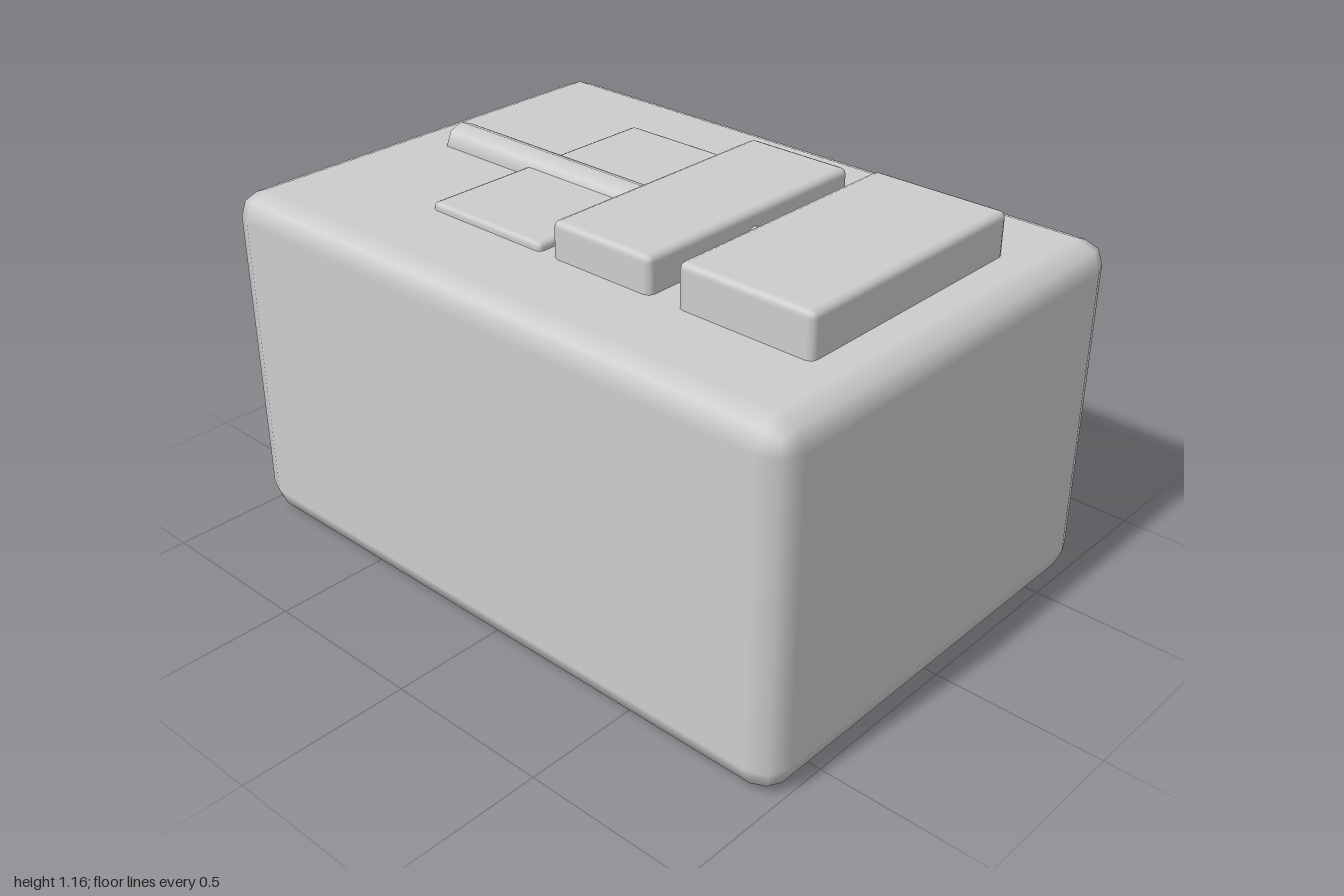
import * as THREE from 'three';
import { RoundedBoxGeometry } from 'three/addons/geometries/RoundedBoxGeometry.js';

export function createModel() {
  const group = new THREE.Group();
  const grey = new THREE.MeshStandardMaterial({ color: 0xcccccc });
  grey.name = 'light grey';

  // Rounded block given by its x and y extents and its depth, centred on z = 0
  function block(name, x0, x1, y0, y1, depth, radius) {
    const mesh = new THREE.Mesh(new RoundedBoxGeometry(x1 - x0, y1 - y0, depth, 1, radius), grey);
    mesh.name = name;
    mesh.position.set((x0 + x1) / 2, (y0 + y1) / 2, 0);
    group.add(mesh);
  }

  // Main body with softly bevelled edges
  block('body', -1, 1, 0, 1.04, 1.4, 0.08);

  // Low plate and two raised pads, seated in the top face
  block('lowPlate', -0.47, -0.05, 0.98, 1.063, 0.8, 0.015);
  block('middlePad', -0.005, 0.335, 0.98, 1.145, 0.8, 0.02);
  block('endPad', 0.425, 0.84, 0.98, 1.165, 0.8, 0.02);

  // Half-sunk rod running under the pads
  const rod = new THREE.Mesh(new THREE.CylinderGeometry(0.06, 0.06, 1.6, 8), grey);
  rod.name = 'rod';
  rod.rotation.z = Math.PI / 2;
  rod.position.y = 1.04;
  group.add(rod);

  return group;
}
